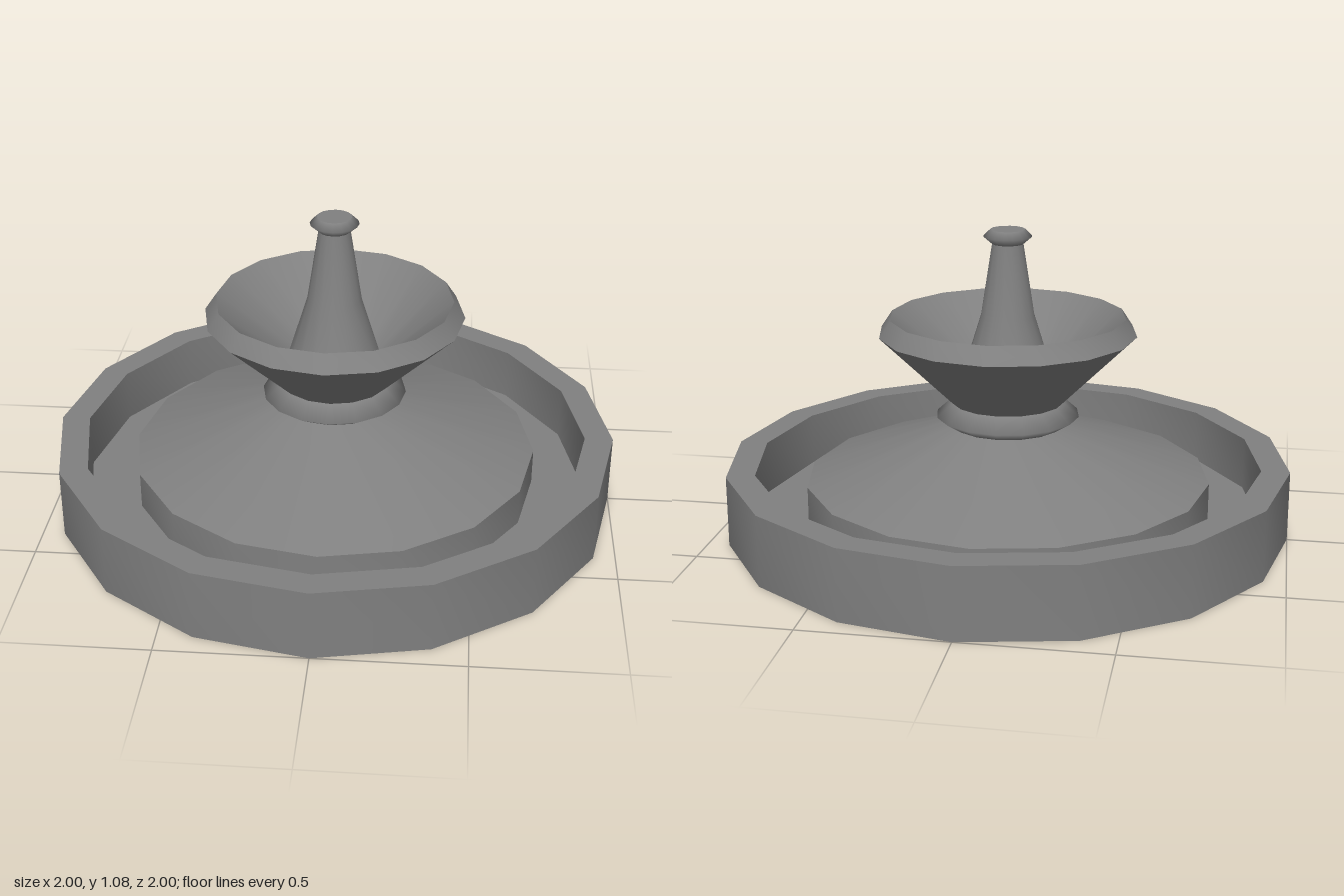
import * as THREE from 'three';
import { toCreasedNormals } from 'three/addons/utils/BufferGeometryUtils.js';

const SIDES = 16;

export function createModel() {
  const group = new THREE.Group();
  group.name = 'fountain';
  const stone = new THREE.MeshStandardMaterial({ color: 0x808080, side: THREE.DoubleSide });
  stone.name = 'grey stone';

  // Turns a profile of [radius, height] pairs; sharp keeps the profile corners crisp
  function turn(name, profile, sharp = true) {
    const points = profile.map(([r, y]) => new THREE.Vector2(r, y));
    let geometry = new THREE.LatheGeometry(points, SIDES);
    if (sharp) geometry = toCreasedNormals(geometry, 0.6);
    const mesh = new THREE.Mesh(geometry, stone);
    mesh.name = name;
    group.add(mesh);
  }

  // Lower pool: outer wall, flat rim, inner wall and floor, open underneath
  turn('pool', [[1, 0], [1, 0.25], [0.9, 0.25], [0.9, 0.06], [0.72, 0.06]]);

  // Short upright skirt with the sloping cone above it
  turn('pedestalSkirt', [[0.72, 0.06], [0.72, 0.19]]);
  turn('pedestalCone', [[0.72, 0.19], [0.2, 0.38]]);

  // Rounded collar between pedestal and bowl
  turn('collar', [[0.2, 0.38], [0.255, 0.415], [0.2, 0.465]], false);

  // Upper bowl: outside, bevelled rim and inside
  turn('upperBowl', [[0.2, 0.465], [0.455, 0.715], [0.415, 0.775], [0.165, 0.55]]);

  // Tapering spout with its knob and flat cap
  turn('spout', [[0.165, 0.55], [0.095, 0.775], [0.055, 1.03]], false);
  turn('spoutKnob', [[0.055, 1.03], [0.085, 1.056], [0.06, 1.08]], false);
  turn('spoutCap', [[0.06, 1.08], [0, 1.08]], false);

  return group;
}
